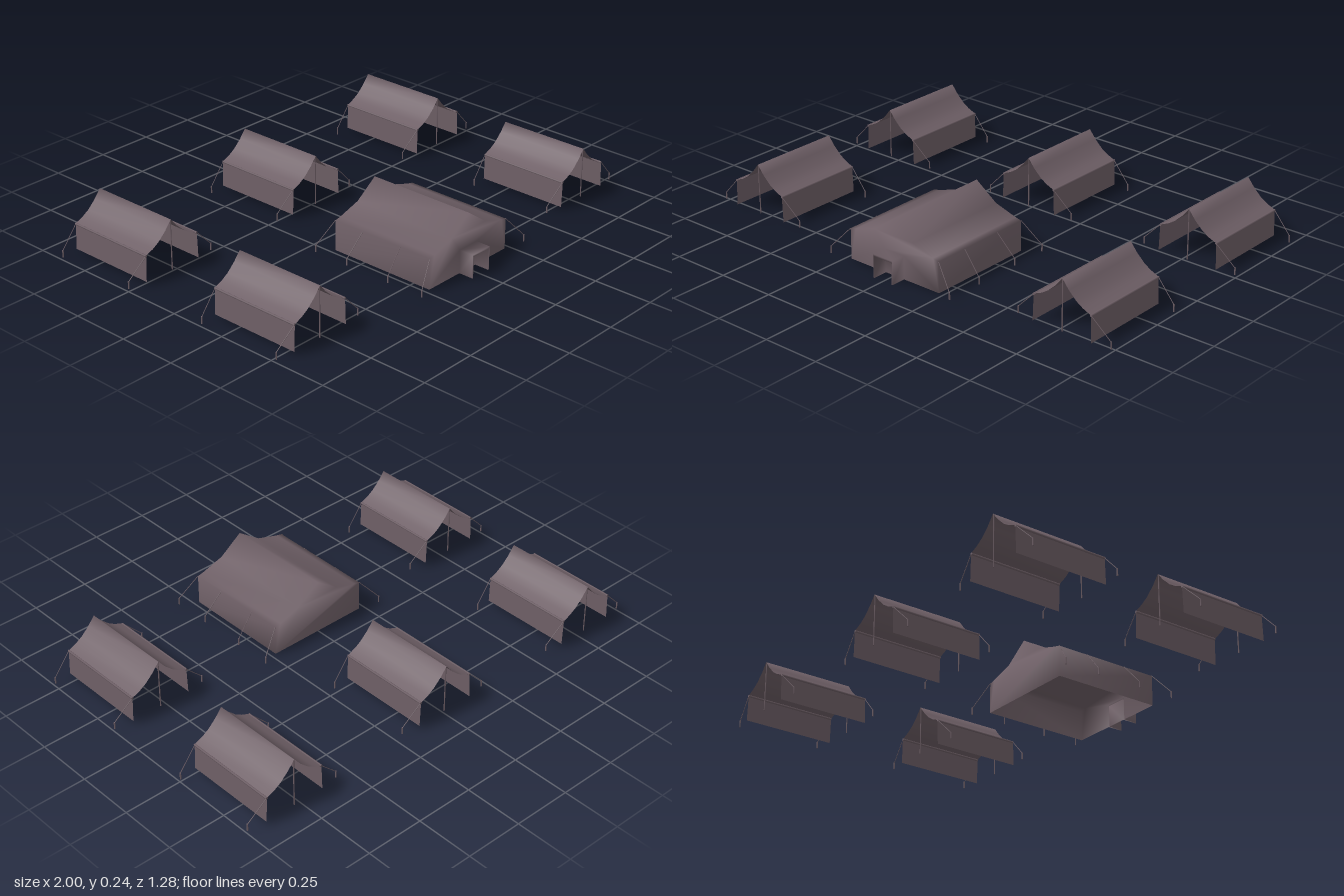
import * as THREE from 'three';

const canvas = new THREE.MeshStandardMaterial({ color: 0x6e5f66, side: THREE.DoubleSide });
canvas.name = 'canvas';

function add(parent, name, geometry) {
  const mesh = new THREE.Mesh(geometry, canvas);
  mesh.name = name;
  parent.add(mesh);
  return mesh;
}

// Indexed geometry with shared vertices, so the cloth shades smoothly
function cloth(points, index) {
  const g = new THREE.BufferGeometry();
  g.setAttribute('position', new THREE.Float32BufferAttribute(points.flat(), 3));
  g.setIndex(index);
  g.computeVertexNormals();
  return g;
}

// Sheet made by running an x/y profile from z0 to z1
function sheet(profile, z0, z1) {
  const points = profile.flatMap(([x, y]) => [[x, y, z1], [x, y, z0]]);
  const index = [];
  for (let i = 0; i < profile.length - 1; i++) {
    const a = i * 2;
    index.push(a, a + 1, a + 3, a, a + 3, a + 2);
  }
  return cloth(points, index);
}

// Round bar between two points
function bar(parent, name, from, to, radius) {
  const a = new THREE.Vector3(...from), b = new THREE.Vector3(...to);
  const mesh = add(parent, name, new THREE.CylinderGeometry(radius, radius, a.distanceTo(b), 6));
  mesh.position.copy(a).add(b).multiplyScalar(0.5);
  mesh.quaternion.setFromUnitVectors(new THREE.Vector3(0, 1, 0), b.sub(a).normalize());
}

// Guy rope with a peg at the ground
function guyRope(parent, from, x, z) {
  bar(parent, 'rope', from, [x, 0.04, z], 0.0015);
  bar(parent, 'peg', [x, 0.012, z], [x, 0.042, z], 0.003);
}

// Mirror a right-hand profile (eave to ridge) to the left
const mirrored = (half) => [...half, ...half.slice(0, -1).reverse().map(([x, y]) => [-x, y])];

// Open-ended canopy on two poles, with a rod along each eave
function smallTent(x, z) {
  const tent = new THREE.Group();
  tent.name = 'smallTent';
  const h = 0.202;
  const roof = mirrored([[0.131, 0.124], [0.095, 0.139], [0.065, 0.158], [0.03, 0.191], [0, 0.228]]);
  add(tent, 'roof', sheet(roof, -h, h));
  add(tent, 'rightWall', sheet([[-0.131, 0.123], [-0.135, 0.013]], -h, h));
  add(tent, 'leftWall', sheet([[0.135, 0.013], [0.131, 0.123]], -h, h));
  for (const side of [-1, 1]) {
    bar(tent, 'eaveRod', [side * 0.131, 0.122, -h], [side * 0.131, 0.122, h], 0.005);
  }
  for (const end of [-1, 1]) {
    bar(tent, 'pole', [0, 0.013, end * (h - 0.003)], [0, 0.226, end * (h - 0.003)], 0.0025);
    for (const side of [-1, 1]) {
      guyRope(tent, [side * 0.131, 0.123, end * (h - 0.001)], side * 0.214, end * (h - 0.013));
    }
  }
  tent.position.set(x, 0, z);
  return tent;
}

// Closed main tent with a small tunnel porch
function mainTent() {
  const tent = new THREE.Group();
  tent.name = 'mainTent';
  const zFront = 0.577, zBack = 0.097, zPorch = 0.641;
  const outline = mirrored([[0.228, 0], [0.228, 0.131], [0.2, 0.137], [0.1, 0.168], [0, 0.24]]);
  const n = outline.length;
  const door = (w, h) => [[-w, 0], [-w, h], [w, h], [w, 0]];
  const at = (list, z) => list.map(([x, y]) => [x, y, z]);
  const faces = (list) => THREE.ShapeUtils.triangulateShape(list.map(([x, y]) => new THREE.Vector2(x, y)), []);

  const frontOutline = [...outline, ...door(0.05, 0.1)];
  const back = frontOutline.length;
  const points = [
    ...at(frontOutline, zFront), ...at(outline, zBack),
    ...at(door(0.05, 0.1), zPorch), ...at(door(0.045, 0.092), zPorch), ...at(door(0.045, 0.092), zFront),
  ];
  const index = faces(frontOutline).flat();
  for (const [a, b, c] of faces(outline)) index.push(back + a, back + c, back + b);
  const quad = (a, b, c, d) => index.push(a, b, c, a, c, d);

  // walls and roof
  for (let i = 0; i < n - 1; i++) quad(i, back + i, back + i + 1, i + 1);
  // porch outside, rim and inside
  const rings = [n, back + n, back + n + 4, back + n + 8];
  for (let r = 0; r < 3; r++) {
    for (let i = 0; i < 3; i++) {
      quad(rings[r] + i, rings[r + 1] + i, rings[r + 1] + i + 1, rings[r] + i + 1);
    }
  }
  // door flap at the back of the porch
  const flap = rings[3];
  quad(flap, flap + 3, flap + 2, flap + 1);
  add(tent, 'tentBody', cloth(points, index));

  // ropes along both sides: [z at the eave, z at the peg]
  for (const [z, pegZ] of [[zBack, 0.065], [0.24, 0.23], [0.43, 0.44], [zFront, 0.608]]) {
    for (const side of [-1, 1]) guyRope(tent, [side * 0.228, 0.131, z], side * 0.308, pegZ);
  }
  return tent;
}

export function createModel() {
  const camp = new THREE.Group();
  camp.name = 'tentCamp';
  camp.add(mainTent());
  for (const [x, z] of [[-0.783, -0.44], [0, -0.425], [0.783, -0.44], [-0.783, 0.334], [0.783, 0.334]]) {
    camp.add(smallTent(x, z));
  }
  return camp;
}
